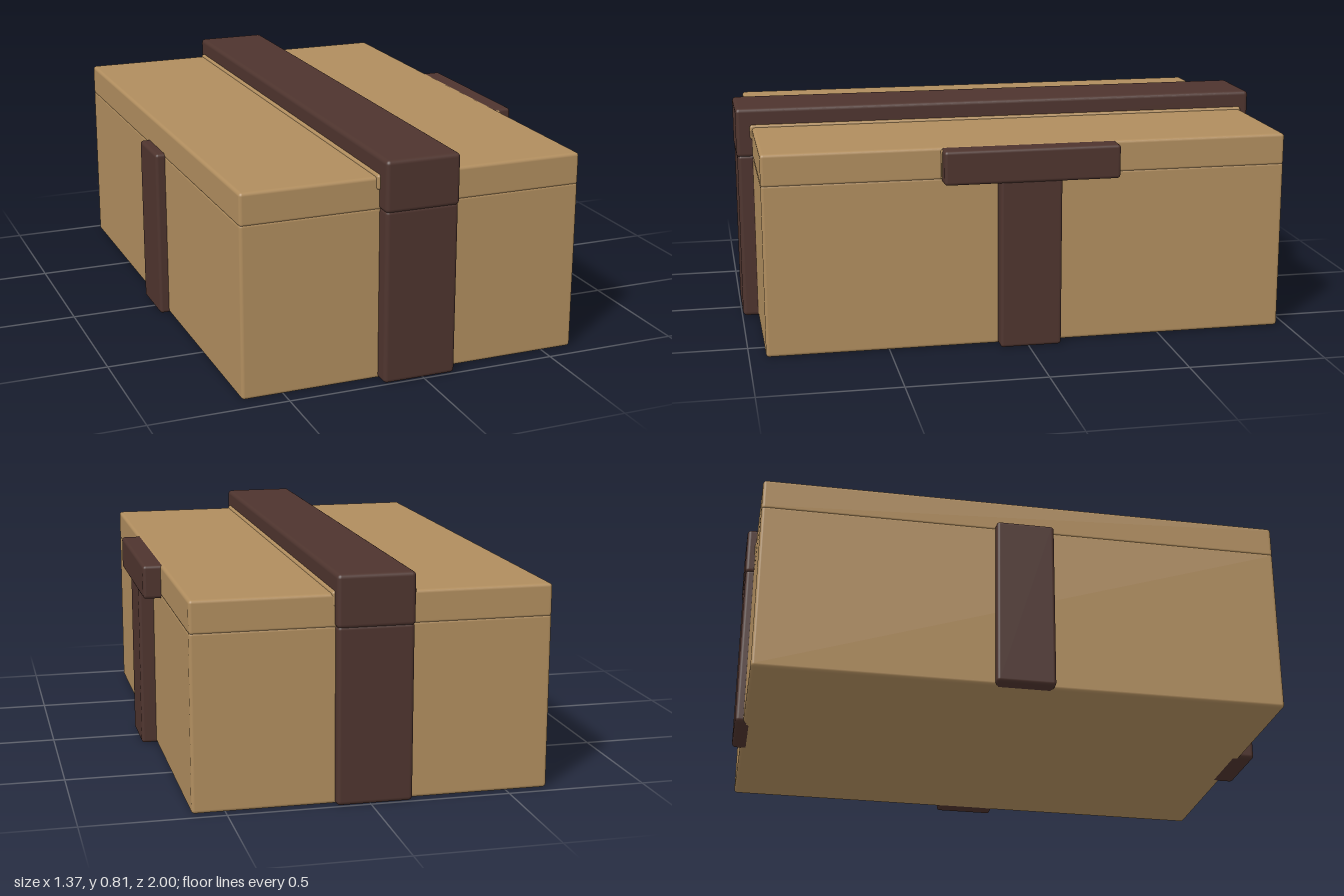
import * as THREE from 'three';
import { RoundedBoxGeometry } from 'three/addons/geometries/RoundedBoxGeometry.js';

const cardboard = new THREE.MeshStandardMaterial({ name: 'tan', color: 0xb08d5e });
const strapBrown = new THREE.MeshStandardMaterial({ name: 'dark brown', color: 0x4e342e });

// Rounded block given by its x, y and z ranges
function block(name, material, [x0, x1], [y0, y1], [z0, z1], radius = 0.012) {
  const geometry = new RoundedBoxGeometry(x1 - x0, y1 - y0, z1 - z0, 3, radius);
  const mesh = new THREE.Mesh(geometry, material);
  mesh.name = name;
  mesh.position.set((x0 + x1) / 2, (y0 + y1) / 2, (z0 + z1) / 2);
  return mesh;
}

export function createModel() {
  const model = new THREE.Group();
  model.name = 'strappedBox';

  // Box body and lid, overlapping slightly so only a fine seam remains
  const width = [-0.65, 0.616];
  const depth = [-0.966, 0.94];
  model.add(block('body', cardboard, width, [0, 0.627], depth));
  model.add(block('lid', cardboard, width, [0.617, 0.735], depth));

  // Strap over the lid, with its two lower lengths down the front and back
  const strapWidth = [-0.152, 0.122];
  model.add(block('lidStrap', strapBrown, strapWidth, [0.62, 0.805], [-1, 1], 0.015));
  model.add(block('frontStrap', strapBrown, [-0.15, 0.12], [0, 0.63], [0.9, 0.997], 0.015));
  model.add(block('backStrap', strapBrown, [-0.15, 0.12], [0, 0.63], [-0.997, -0.93], 0.015));

  // Raised edge of the lid where the strap sits
  model.add(block('strapSeat', cardboard, [-0.163, 0.133], [0.69, 0.744], [-0.968, 0.948], 0.01));

  // Side clasp and the strips below it and on the opposite side
  model.add(block('clasp', strapBrown, [0.6, 0.681], [0.61, 0.733], [-0.33, 0.306]));
  model.add(block('claspSeat', cardboard, [0.59, 0.636], [0.622, 0.728], [-0.325, 0.309], 0.006));
  model.add(block('leftStrip', strapBrown, [0.59, 0.672], [0, 0.62], [-0.12, 0.104]));
  model.add(block('rightStrip', strapBrown, [-0.685, -0.62], [0, 0.635], [-0.12, 0.092]));

  return model;
}
